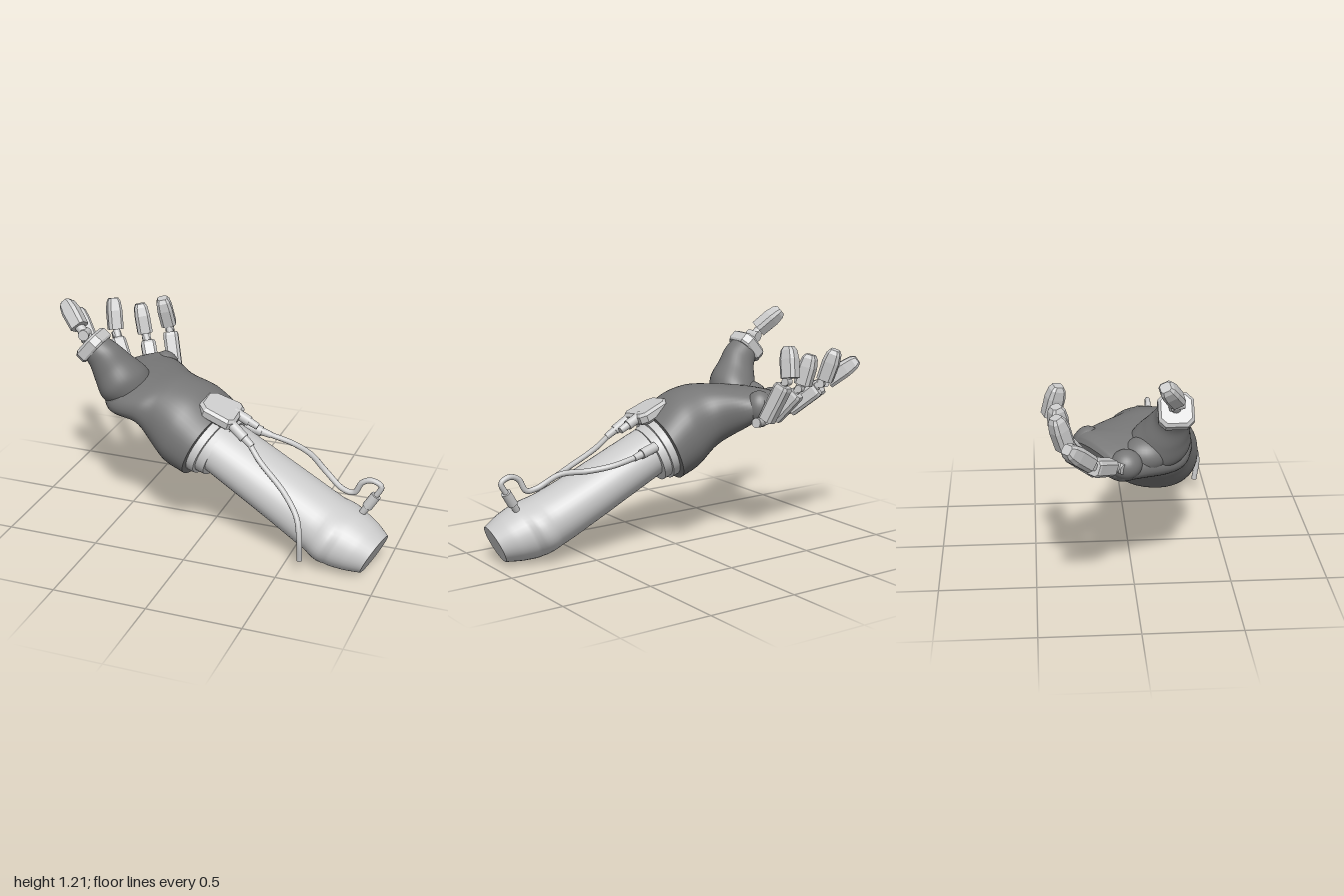
import * as THREE from 'three';

const V = (a) => new THREE.Vector3(...a);
const lightMat = new THREE.MeshStandardMaterial({ color: 0xcccccc });
const flatMat = new THREE.MeshStandardMaterial({ color: 0xcccccc, flatShading: true });
const gloveMat = new THREE.MeshStandardMaterial({ color: 0x777777 });

// Outlines are rings of [u, w] pairs, counter-clockwise
function roundOutline(n, power = 2) {
  const f = (v) => Math.sign(v) * Math.abs(v) ** (2 / power);
  return Array.from({ length: n }, (_, i) => {
    const a = (i / n) * Math.PI * 2;
    return [f(Math.cos(a)), f(Math.sin(a))];
  });
}
const k = 0.62;
const chamferOutline = [[1, -k], [1, k], [k, 1], [-k, 1], [-1, k], [-1, -k], [-k, -1], [k, -1]];

// Sections are { c, u, w }: a centre and two half-axis vectors
const section = (c, u, w) => ({ c: V(c), u: V(u), w: V(w) });

// Resample a few sections along smooth curves
function smooth(sections, n) {
  const curve = (key) => new THREE.CatmullRomCurve3(sections.map((s) => s[key]));
  const [c, u, w] = ['c', 'u', 'w'].map(curve);
  return Array.from({ length: n + 1 }, (_, i) => {
    const t = i / n;
    return { c: c.getPoint(t), u: u.getPoint(t), w: w.getPoint(t) };
  });
}

// Skin the sections and close both ends
function loft(sections, outline, material, name) {
  const pos = [], idx = [], n = outline.length, last = sections.length - 1;
  const ring = (s) => outline.forEach(([a, b]) => {
    const p = s.c.clone().addScaledVector(s.u, a).addScaledVector(s.w, b);
    pos.push(p.x, p.y, p.z);
  });
  const first = sections[0];
  const along = sections[last].c.clone().sub(first.c);
  const flip = first.u.clone().cross(first.w).dot(along) < 0;
  const tri = (a, b, c) => (flip ? idx.push(a, c, b) : idx.push(a, b, c));
  sections.forEach(ring);
  for (let i = 0; i < last; i++) {
    for (let j = 0; j < n; j++) {
      const a = i * n + j, b = i * n + ((j + 1) % n);
      tri(a, b, b + n);
      tri(a, b + n, a + n);
    }
  }
  for (const end of [0, last]) {
    const base = pos.length / 3;
    ring(sections[end]);
    pos.push(...sections[end].c.toArray());
    for (let j = 0; j < n; j++) {
      const a = base + j, b = base + ((j + 1) % n);
      if (end) tri(a, b, base + n);
      else tri(b, a, base + n);
    }
  }
  const geo = new THREE.BufferGeometry();
  geo.setAttribute('position', new THREE.Float32BufferAttribute(pos, 3));
  geo.setIndex(idx);
  geo.computeVertexNormals();
  const mesh = new THREE.Mesh(geo, material);
  mesh.name = name;
  return mesh;
}

// Chamfered block from a to b; profile rows are [t, width, depth]
function block(a, b, side, profile, name) {
  const p = V(a), d = V(b).sub(p), dir = d.clone().normalize();
  const s = V(side).addScaledVector(dir, -V(side).dot(dir)).normalize();
  const n = s.clone().cross(dir);
  return loft(profile.map(([t, w, h]) => ({
    c: p.clone().addScaledVector(d, t),
    u: s.clone().multiplyScalar(w),
    w: n.clone().multiplyScalar(h),
  })), chamferOutline, flatMat, name);
}

function rod(a, b, r, name, r2 = r) {
  const p = V(a), d = V(b).sub(p);
  const mesh = new THREE.Mesh(new THREE.CylinderGeometry(r2, r, d.length(), 16), lightMat);
  mesh.position.copy(p).addScaledVector(d, 0.5);
  mesh.quaternion.setFromUnitVectors(new THREE.Vector3(0, 1, 0), d.normalize());
  mesh.name = name;
  return mesh;
}

// Barrel across a finger joint
function hinge(at, side, half, r) {
  const s = V(side).normalize().multiplyScalar(half), c = V(at);
  return rod(c.clone().sub(s).toArray(), c.clone().add(s).toArray(), r, 'jointBarrel');
}

const tipProfile = [[0, 0.041, 0.043], [0.6, 0.041, 0.045], [0.88, 0.036, 0.037], [1, 0.026, 0.024]];
const boneProfile = [[0, 0.04, 0.04], [0.92, 0.041, 0.043], [1, 0.037, 0.037]];

function finger(name, [knuckle, boneStart, boneEnd, tipStart, tip], side) {
  const g = new THREE.Group();
  g.name = name;
  g.add(
    rod(knuckle, boneStart, 0.025, 'knuckleRod'),
    hinge(knuckle, side, 0.032, 0.026),
    block(boneStart, boneEnd, side, boneProfile, 'fingerBone'),
    rod(V(boneStart).lerp(V(boneEnd), 0.8).toArray(), V(tipStart).lerp(V(tip), 0.2).toArray(), 0.019, 'middleJoint'),
    hinge(V(boneEnd).lerp(V(tipStart), 0.5).toArray(), side, 0.024, 0.02),
    block(tipStart, tip, side, tipProfile, 'fingertip'),
  );
  return g;
}

function cable(points, name) {
  const curve = new THREE.CatmullRomCurve3(points.map(V));
  const mesh = new THREE.Mesh(new THREE.TubeGeometry(curve, 80, 0.015, 10), lightMat);
  mesh.name = name;
  return mesh;
}

// Stepped plug: thick body and a narrower neck
function plug(a, b, r, name) {
  const g = new THREE.Group();
  g.name = name;
  const m = V(a).lerp(V(b), 0.65).toArray();
  g.add(rod(a, m, r, 'plugBody'), rod(m, b, r * 0.78, 'plugNeck', r * 0.65));
  return g;
}

export function createModel() {
  const model = new THREE.Group();

  // Forearm, slightly oval and tapering to a flat end
  const arm = [
    [0.03, 0.535, 0.125, 0.132, 0.172], [0.25, 0.42, 0.152, 0.139, 0.176], [0.47, 0.304, 0.18, 0.146, 0.18],
    [0.67, 0.202, 0.212, 0.154, 0.184], [0.78, 0.158, 0.235, 0.157, 0.184], [0.87, 0.13, 0.25, 0.138, 0.165],
    [0.95, 0.105, 0.265, 0.106, 0.13],
  ].map(([x, y, z, u, w]) => section([x, y, z], [0.42 * u, 0.9 * u, 0], [-0.17 * w, 0, 0.98 * w]));
  model.add(loft(smooth(arm, 36), roundOutline(40), lightMat, 'forearm'));

  // Stepped wrist ring
  const ringPart = (x, y, u, w) => section([x, y, 0.12], [0.4 * u, 0.92 * u, 0], [-0.2 * w, 0, 0.98 * w]);
  model.add(
    loft([ringPart(-0.02, 0.545, 0.175, 0.225), ringPart(0.05, 0.512, 0.17, 0.217)], roundOutline(40), lightMat, 'wristRing'),
    loft([ringPart(0.04, 0.515, 0.156, 0.198), ringPart(0.09, 0.49, 0.151, 0.19)], roundOutline(40), lightMat, 'wristCollar'),
  );

  // Glove: cuff, pinched wrist and palm widening to the knuckles
  const palm = [
    section([0.015, 0.53, 0.115], [0.075, 0.175, 0], [-0.05, 0, 0.25]),
    section([-0.1, 0.6, 0.11], [0.07, 0.2, 0], [-0.05, 0, 0.245]),
    section([-0.22, 0.67, 0.09], [0.055, 0.172, 0], [-0.04, 0, 0.222]),
    section([-0.325, 0.715, 0.03], [0.03, 0.127, 0], [-0.025, -0.01, 0.272]),
    section([-0.44, 0.725, -0.02], [0, 0.105, 0], [-0.08, -0.03, 0.262]),
    section([-0.5, 0.73, -0.135], [-0.01, 0.09, 0], [-0.135, -0.035, 0.165]),
    section([-0.53, 0.725, -0.175], [-0.02, 0.075, 0], [-0.145, -0.035, 0.12]),
    section([-0.54, 0.725, -0.19], [-0.02, 0.05, 0], [-0.125, -0.03, 0.1]),
  ];
  model.add(loft(smooth(palm, 56), roundOutline(48, 2.2), gloveMat, 'glovePalm'));

  // Rounded pads filling the glove at the thumb root, thumb web and outer knuckles
  const pads = {
    thumbPad: [[-0.44, 0.72, 0.11], [0.14, 0.105, 0.155]],
    thumbWebPad: [[-0.525, 0.745, 0.05], [0.1, 0.09, 0.12]],
    littleKnucklePad: [[-0.385, 0.75, -0.225], [0.075, 0.09, 0.075]],
    indexKnucklePad: [[-0.615, 0.73, -0.05], [0.08, 0.075, 0.08]],
  };
  Object.entries(pads).forEach(([name, [centre, radii]]) => {
    const pad = new THREE.Mesh(new THREE.SphereGeometry(1, 32, 20), gloveMat);
    pad.name = name;
    pad.position.copy(V(centre));
    pad.scale.copy(V(radii));
    model.add(pad);
  });

  // Glove sleeve of the thumb
  const sleeve = [
    [-0.42, 0.72, 0.1, 0.11, 0.13], [-0.475, 0.785, 0.125, 0.138, 0.15], [-0.525, 0.873, 0.155, 0.116, 0.115],
    [-0.562, 0.948, 0.18, 0.094, 0.09], [-0.61, 1.0, 0.19, 0.078, 0.08],
  ].map(([x, y, z, u, w]) => section([x, y, z], [0.77 * u, 0.62 * u, 0], [0, 0, w]));
  model.add(loft(smooth(sleeve, 30), roundOutline(36), gloveMat, 'gloveThumb'));

  // Thumb: band, joint and tip
  const thumb = new THREE.Group();
  thumb.name = 'thumb';
  const thumbSide = [0.2, 0.1, 0.97];
  thumb.add(
    block([-0.592, 0.98, 0.19], [-0.645, 1.025, 0.19], [0, 0, 1],
      [[0, 0.08, 0.08], [0.15, 0.087, 0.087], [0.8, 0.087, 0.087], [1, 0.074, 0.072]], 'thumbBand'),
    rod([-0.62, 1.005, 0.19], [-0.72, 1.11, 0.175], 0.026, 'thumbJoint'),
    hinge([-0.665, 1.055, 0.188], thumbSide, 0.035, 0.028),
    block([-0.695, 1.09, 0.185], [-0.802, 1.195, 0.12], thumbSide, tipProfile, 'thumbTip'),
  );
  model.add(thumb);

  // Four curled fingers: knuckle, bone start, bone end, tip start, tip
  const fingers = {
    indexFinger: [[-0.67, 0.74, -0.09], [-0.72, 0.765, -0.13], [-0.835, 0.815, -0.22], [-0.85, 0.845, -0.24], [-0.965, 0.965, -0.345]],
    middleFinger: [[-0.57, 0.69, -0.17], [-0.61, 0.71, -0.21], [-0.71, 0.83, -0.315], [-0.735, 0.88, -0.345], [-0.765, 1.045, -0.39]],
    ringFinger: [[-0.45, 0.68, -0.22], [-0.47, 0.69, -0.25], [-0.54, 0.83, -0.345], [-0.565, 0.875, -0.365], [-0.6, 1.035, -0.385]],
    littleFinger: [[-0.35, 0.68, -0.27], [-0.365, 0.7, -0.315], [-0.42, 0.89, -0.385], [-0.44, 0.93, -0.41], [-0.46, 1.09, -0.37]],
  };
  Object.entries(fingers).forEach(([name, points], i) => {
    model.add(finger(name, points, [-0.65 - 0.08 * i, -0.1, 0.7 - 0.12 * i]));
  });

  // Bevelled control plate on top of the cuff
  const shape = new THREE.Shape([[-0.09, -0.05], [-0.06, -0.08], [0.07, -0.09], [0.09, -0.07],
    [0.09, 0.07], [0.07, 0.09], [-0.06, 0.08], [-0.09, 0.05]].map(([x, y]) => new THREE.Vector2(x, y)));
  const plateGeo = new THREE.ExtrudeGeometry(shape, { depth: 0.035, bevelSize: 0.015, bevelThickness: 0.015, bevelSegments: 1 });
  plateGeo.rotateX(-Math.PI / 2).translate(0, -0.015, 0);
  const plate = new THREE.Mesh(plateGeo, flatMat);
  plate.name = 'controlPlate';
  plate.position.set(0.075, 0.718, 0.15);
  plate.rotation.set(0.12, 0, -0.36);
  model.add(plate);

  // Plugs and cables
  model.add(
    plug([0.14, 0.71, 0.12], [0.27, 0.645, 0.12], 0.027, 'shortPlug'),
    plug([0.15, 0.685, 0.21], [0.28, 0.59, 0.24], 0.027, 'sidePlug'),
    plug([0.15, 0.57, -0.03], [0.29, 0.53, -0.04], 0.027, 'backPlug'),
    plug([0.925, 0.395, 0.18], [0.86, 0.29, 0.19], 0.027, 'endPlug'),
    cable([[0.26, 0.605, 0.235], [0.33, 0.53, 0.27], [0.49, 0.41, 0.345], [0.58, 0.32, 0.415],
      [0.605, 0.22, 0.445], [0.605, 0.09, 0.43]], 'sideCable'),
    cable([[0.27, 0.535, -0.04], [0.42, 0.505, -0.03], [0.53, 0.485, 0.02], [0.64, 0.46, 0.125], [0.75, 0.395, 0.17],
      [0.81, 0.39, 0.175], [0.85, 0.455, 0.18], [0.9, 0.475, 0.18], [0.95, 0.45, 0.18], [0.92, 0.385, 0.18]], 'topCable'),
  );
  return model;
}
